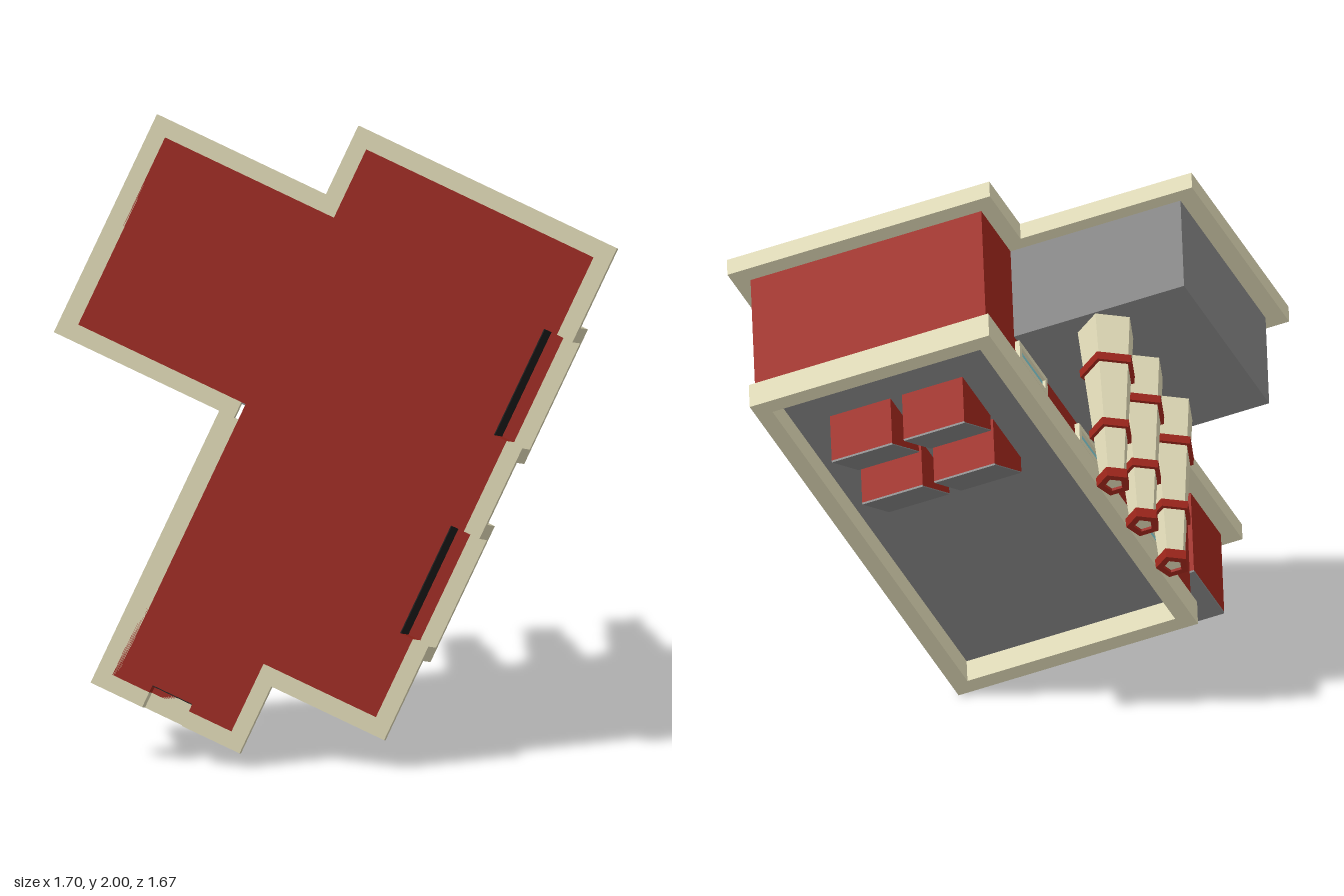
import * as THREE from 'three';

const mat = (color, side = THREE.FrontSide) => new THREE.MeshStandardMaterial({ color, flatShading: true, side });
const RED = mat(0x98241a), CREAM = mat(0xd8d2b0), GREY = mat(0x7f7f7f), BLACK = mat(0x1c1c1c), GLASS = mat(0x7cc4cc);

// Box given by its limits
function box(parent, name, material, x0, x1, y0, y1, z0, z1) {
  const mesh = new THREE.Mesh(new THREE.BoxGeometry(x1 - x0, y1 - y0, z1 - z0), material);
  mesh.position.set((x0 + x1) / 2, (y0 + y1) / 2, (z0 + z1) / 2);
  mesh.name = name;
  parent.add(mesh);
  return mesh;
}

// Floor plan [x, z] raised from y0 to y1
function raisePlan(parent, name, material, plan, y0, y1) {
  const shape = new THREE.Shape(plan.map(([x, z]) => new THREE.Vector2(x, -z)));
  const geo = new THREE.ExtrudeGeometry(shape, { depth: y1 - y0, bevelEnabled: false });
  geo.rotateX(-Math.PI / 2);
  const mesh = new THREE.Mesh(geo, material);
  mesh.position.y = y0;
  mesh.name = name;
  parent.add(mesh);
}

const BASE = -0.557, TRIM = BASE + 0.06;
const WALL = { x0: -0.63, x1: 0.171, z0: 0.1, z1: 1.715 };
const DOORS = [[0.374, 0.752], [1.07, 1.443]];

function addMainHall(g) {
  const { x0, x1, z0, z1 } = WALL, back = 0.126, doorTop = -0.24;
  // lower walls with the two door recesses
  const plan = [[x0, z0], [x1, z0]];
  for (const [a, b] of DOORS) plan.push([x1, a], [back, a], [back, b], [x1, b]);
  plan.push([x1, z1], [x0, z1]);
  raisePlan(g, 'lowerWalls', RED, plan, BASE, doorTop);
  box(g, 'upperWalls', RED, x0, x1, doorTop, -0.07, z0, z1);
  box(g, 'mainRoof', GREY, x0, x1, -0.07, -0.058, z0, z1);

  // parapet around the sunken roof
  const o = 0.015, w = 0.055, p0 = -0.067, p1 = 0.022;
  for (const [a, b] of [[x0 - o, x0 + w - o], [x1 - w + o, x1 + o]])
    box(g, 'parapetSide', CREAM, a, b, p0, p1, z0 - o, z1 + o);
  for (const [a, b] of [[z0 - o, z0 + w - o], [z1 - w + o, z1 + o]])
    box(g, 'parapetEnd', CREAM, x0 + w - o, x1 - w + o, p0, p1, a, b);

  // loading doors with frames
  for (const [a, b] of DOORS) {
    box(g, 'loadingDoor', BLACK, back - 0.01, back + 0.003, BASE + 0.001, doorTop, a, b);
    box(g, 'doorJamb', CREAM, x1, 0.226, TRIM, doorTop + 0.055, a - 0.05, a);
    box(g, 'doorJamb', CREAM, x1, 0.226, TRIM, doorTop + 0.055, b, b + 0.05);
    box(g, 'doorLintel', CREAM, back, 0.226, doorTop, doorTop + 0.055, a, b);
  }

  // windows on both long walls
  for (const z of [0.44, 0.9, 1.37]) for (const [x, s] of [[x0, -1], [x1, 1]]) {
    const win = new THREE.Group();
    win.name = 'window';
    win.position.set(x, -0.1, z);
    box(win, 'glass', GLASS, -0.006, 0.006, -0.03, 0.03, -0.1, 0.1);
    for (const e of [-1, 1]) {
      box(win, 'frameLong', CREAM, -0.016, 0.016, e * 0.026 - 0.009, e * 0.026 + 0.009, -0.11, 0.11);
      box(win, 'frameShort', CREAM, -0.016, 0.016, -0.017, 0.017, e * 0.101 - 0.009, e * 0.101 + 0.009);
    }
    win.scale.x = s;
    g.add(win);
  }
}

function addSkylights(g) {
  // wedge: tall face to +z, grey roof sloping down to -z
  const bottom = -0.06, ridge = 0.125, low = 0, len = 0.22, wide = 0.21;
  for (const x of [-0.195, -0.445]) for (const z of [1.48, 1.24]) {
    const side = new THREE.Shape([[0, bottom], [0, ridge], [len, low], [len, bottom]].map(p => new THREE.Vector2(...p)));
    const geo = new THREE.ExtrudeGeometry(side, { depth: wide, bevelEnabled: false });
    geo.rotateY(Math.PI / 2);
    const mesh = new THREE.Mesh(geo, RED);
    mesh.name = 'skylightBody';
    mesh.position.set(x, 0, z);
    g.add(mesh);
    const slope = Math.atan2(ridge - low, len), run = Math.hypot(ridge - low, len);
    const roof = box(g, 'skylightRoof', GREY, x, x + wide, 0, 0.006, 0, run);
    roof.position.set(x + wide / 2, (ridge + low) / 2, z - len / 2);
    roof.rotation.x = -slope;
  }
}

function addAnnex(g) {
  box(g, 'annexFloor', RED, -1.225, -0.63, BASE, BASE + 0.012, 0.82, 1.475);
  box(g, 'annexWalls', GREY, -1.22, -0.63, BASE + 0.012, -0.152, 0.815, 1.485);

  // chimneys with rings
  const h0 = -0.152, h1 = 0.465, r0 = 0.095, r1 = 0.042;
  for (const z of [0.92, 1.153, 1.385]) {
    const chimney = new THREE.Group();
    chimney.name = 'chimney';
    chimney.position.set(-0.91, 0, z);
    const stack = new THREE.Mesh(new THREE.CylinderGeometry(r1, r0, h1 - h0, 5), CREAM);
    stack.name = 'stack';
    stack.position.y = (h0 + h1) / 2;
    chimney.add(stack);
    for (const [h, t] of [[0.015, 0.028], [0.265, 0.028], [0.458, 0.034]]) {
      const r = r0 + (r1 - r0) * (h - h0) / (h1 - h0);
      const prof = [[r - 0.012, -t / 2], [r + 0.014, -t / 2], [r + 0.012, t / 2], [r - 0.012, t / 2], [r - 0.012, -t / 2]];
      const ring = new THREE.Mesh(new THREE.LatheGeometry(prof.map(p => new THREE.Vector2(...p)), 5), RED);
      ring.name = 'ring';
      ring.position.y = h;
      chimney.add(ring);
    }
    g.add(chimney);
  }
}

function addPorch(g) {
  const x0 = -0.645, x1 = -0.225, z0 = -0.138, z1 = 0.1, a = -0.515, b = -0.375, rec = z0 + 0.025, top = -0.44;
  raisePlan(g, 'porchLowerWalls', RED,
    [[x0, z0], [a, z0], [a, rec], [b, rec], [b, z0], [x1, z0], [x1, z1], [x0, z1]], BASE, top);
  box(g, 'porchUpperWalls', RED, x0, x1, top, -0.185, z0, z1);
  box(g, 'porchRoof', GREY, x0, x1, -0.185, -0.178, z0, z1);
  box(g, 'porchDoor', BLACK, a, b, BASE + 0.001, top, rec - 0.003, rec + 0.005);
  box(g, 'porchJamb', CREAM, a - 0.04, a, TRIM, top + 0.045, -0.19, z0);
  box(g, 'porchJamb', CREAM, b, b + 0.04, TRIM, top + 0.045, -0.19, z0);
  box(g, 'porchLintel', CREAM, a, b, top, top + 0.045, -0.19, rec);
}

function addBaseTrim(g) {
  // [x0, x1, z0, z1] of each strip along the foot of the walls
  const strips = [
    [0.171, 0.226, 0.045, 0.374], [0.171, 0.226, 0.752, 1.07], [0.171, 0.226, 1.443, 1.772],
    [-0.685, 0.171, 1.715, 1.772], [-0.685, -0.63, 1.475, 1.715],
    [-1.28, -0.685, 1.475, 1.53], [-1.28, -1.22, 0.765, 1.475], [-1.22, -0.645, 0.765, 0.82],
    [-0.697, -0.63, -0.19, 0.765], [-0.63, -0.515, -0.19, -0.138], [-0.375, -0.172, -0.19, -0.138],
    [-0.225, -0.172, -0.138, 0.1], [-0.172, 0.171, 0.045, 0.1],
  ];
  for (const [a, b, c, d] of strips) box(g, 'baseTrim', CREAM, a, b, BASE, TRIM, c, d);
}

export function createModel() {
  const building = new THREE.Group();
  building.name = 'factory';
  addMainHall(building);
  addSkylights(building);
  addAnnex(building);
  addPorch(building);
  addBaseTrim(building);

  // the whole building lies tipped over
  const across = new THREE.Vector3(0.802, -0.398, -0.446).normalize();
  const along = new THREE.Vector3(0.2006, 0.882, -0.4265);
  const up = along.clone().cross(across).normalize();
  along.crossVectors(across, up);
  building.quaternion.setFromRotationMatrix(new THREE.Matrix4().makeBasis(across, up, along));

  const model = new THREE.Group();
  model.name = 'model';
  model.add(building);
  return model;
}
